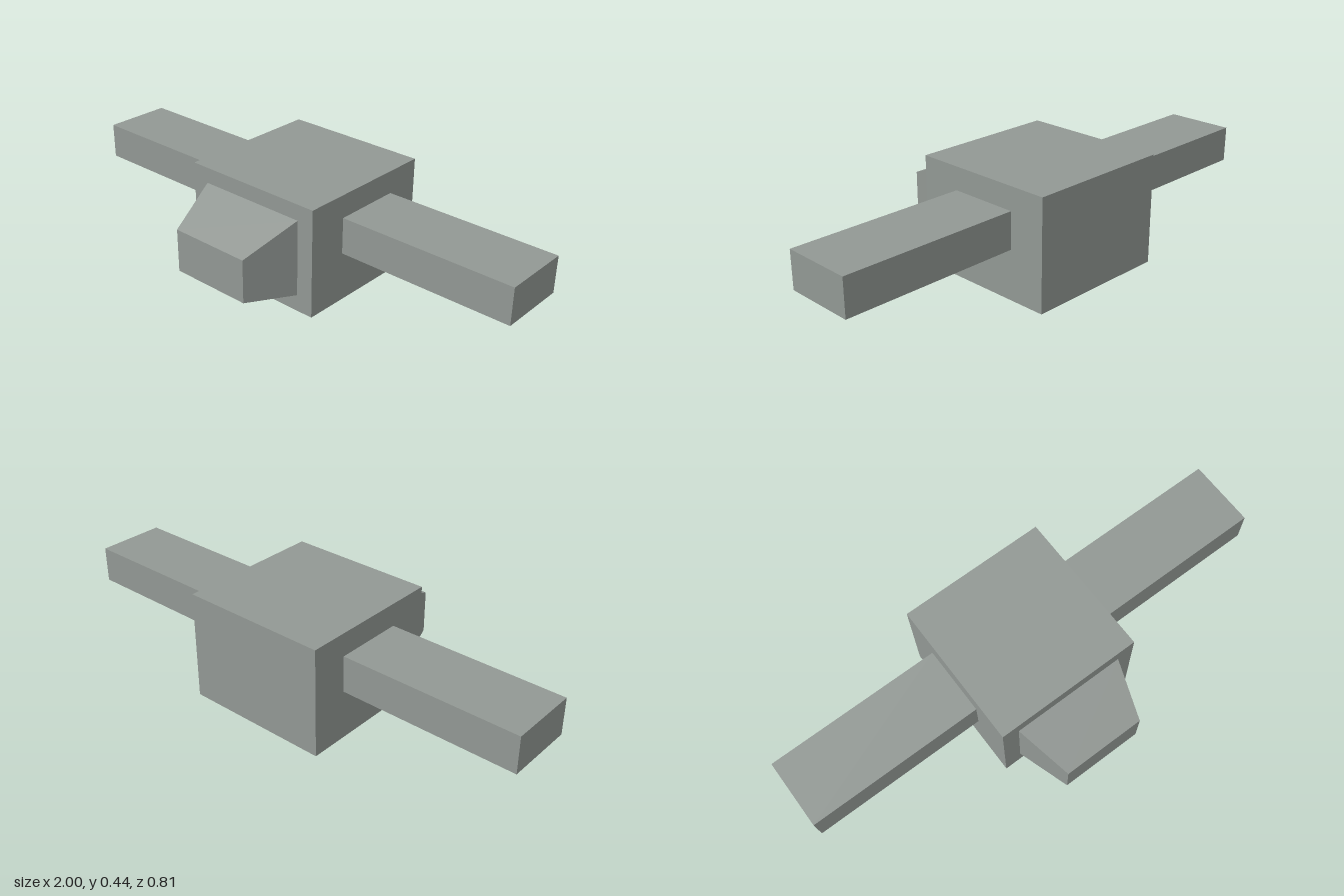
import * as THREE from 'three';

export function createModel() {
  const model = new THREE.Group();
  const grey = new THREE.MeshStandardMaterial({ color: 0x929894, flatShading: true });
  grey.name = 'grey';

  // Box given by its limits on each axis
  function block(name, [x0, x1], [y0, y1], [z0, z1]) {
    const geometry = new THREE.BoxGeometry(x1 - x0, y1 - y0, z1 - z0);
    geometry.translate((x0 + x1) / 2, (y0 + y1) / 2, (z0 + z1) / 2);
    const mesh = new THREE.Mesh(geometry, grey);
    mesh.name = name;
    model.add(mesh);
    return mesh;
  }

  // Main body
  block('body', [-0.297, 0.297], [0, 0.435], [-0.403, 0.188]);

  // Side arms
  block('leftArm', [0.297, 1], [0.198, 0.343], [-0.256, 0.021]);
  block('rightArm', [-1, -0.297], [0.198, 0.343], [-0.256, 0.021]);

  // Snout, tapered towards its front face
  const snout = block('snout', [-0.228, 0.228], [0.067, 0.372], [0.188, 0.403]);
  const position = snout.geometry.attributes.position;
  for (let i = 0; i < position.count; i++) {
    if (position.getZ(i) < 0.3) continue;
    position.setX(i, Math.sign(position.getX(i)) * 0.167);
    position.setY(i, position.getY(i) > 0.2 ? 0.279 : 0.106);
  }
  snout.geometry.computeVertexNormals();

  return model;
}
